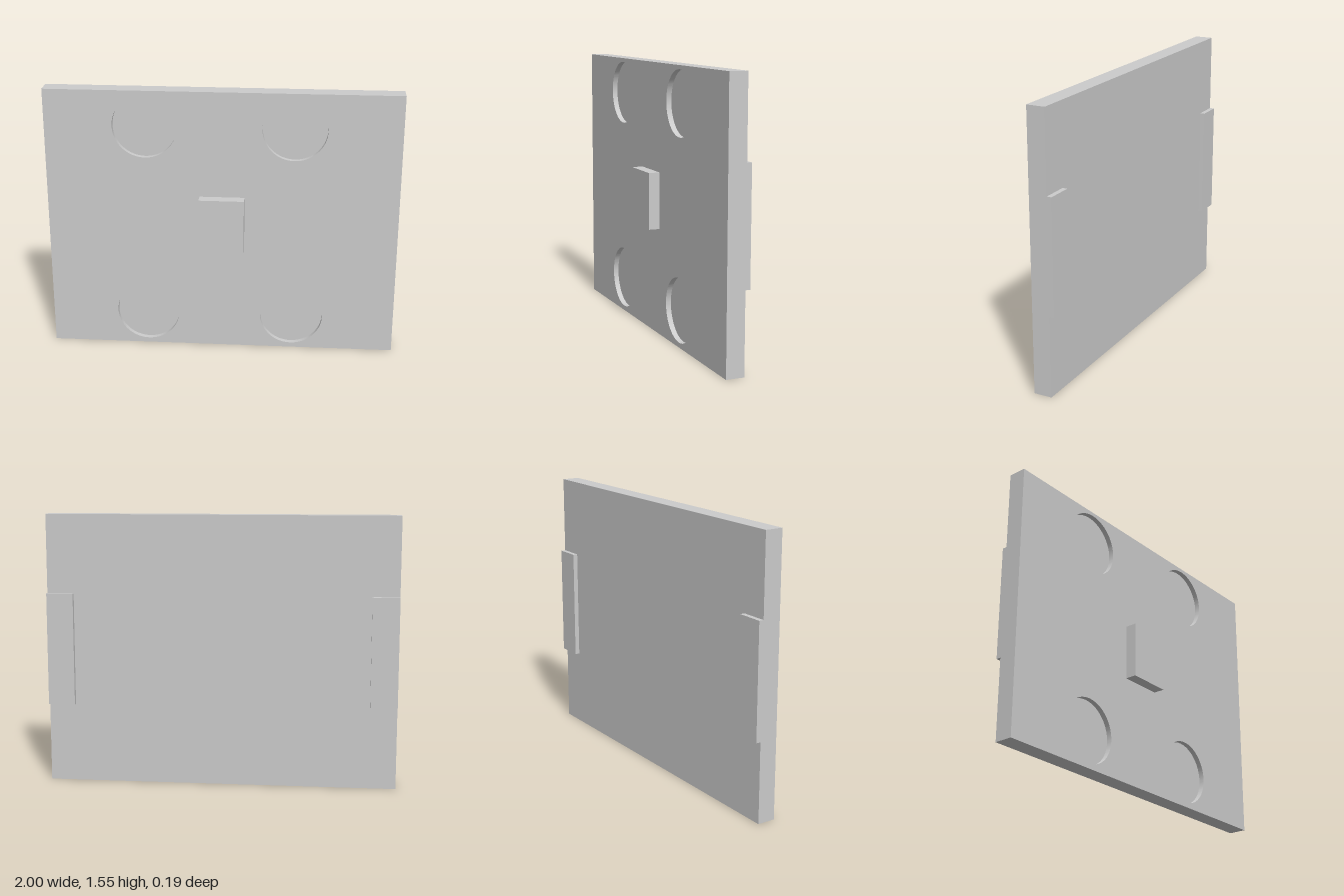
import * as THREE from 'three';
import { toCreasedNormals } from 'three/addons/utils/BufferGeometryUtils.js';

const WIDTH = 2, HEIGHT = 1.55;
const BACK = -0.07, FRONT = 0.033, RECESS = 0.03;

export function createModel() {
  const model = new THREE.Group();
  const material = new THREE.MeshStandardMaterial({ color: 0xcccccc });

  const add = (name, geometry) => {
    const mesh = new THREE.Mesh(geometry, material);
    mesh.name = name;
    model.add(mesh);
  };
  // Box given by its limits on each axis
  const addBox = (name, [x0, x1], [y0, y1], [z0, z1]) =>
    add(name, new THREE.BoxGeometry(x1 - x0, y1 - y0, z1 - z0)
      .translate((x0 + x1) / 2, (y0 + y1) / 2, (z0 + z1) / 2));

  // Solid rear layer, whose front is the floor of the recesses
  addBox('panelBack', [-WIDTH / 2, WIDTH / 2], [0, HEIGHT], [BACK, FRONT - RECESS]);

  // Front layer pierced by four round recesses
  const face = new THREE.Shape();
  face.moveTo(-WIDTH / 2, 0).lineTo(WIDTH / 2, 0).lineTo(WIDTH / 2, HEIGHT).lineTo(-WIDTH / 2, HEIGHT).closePath();
  for (const x of [-0.434, 0.406]) {
    for (const y of [0.21, 1.346]) {
      face.holes.push(new THREE.Path().absarc(x, y, 0.182, 0, Math.PI * 2, true));
    }
  }
  const faceGeometry = new THREE.ExtrudeGeometry(face, { depth: RECESS, bevelEnabled: false, curveSegments: 64 })
    .translate(0, 0, FRONT - RECESS);
  add('panelFront', toCreasedNormals(faceGeometry, Math.PI / 6));

  // Raised block in the middle of the front
  addBox('frontBlock', [-0.128, 0.128], [0.615, 0.938], [FRONT, 0.097]);

  // Thin strips on the back, flush with the side edges
  addBox('leftBackStrip', [0.847, 1], [0.455, 1.1], [-0.097, BACK]);
  addBox('rightBackStrip', [-1, -0.847], [0.455, 1.1], [-0.097, BACK]);

  return model;
}
